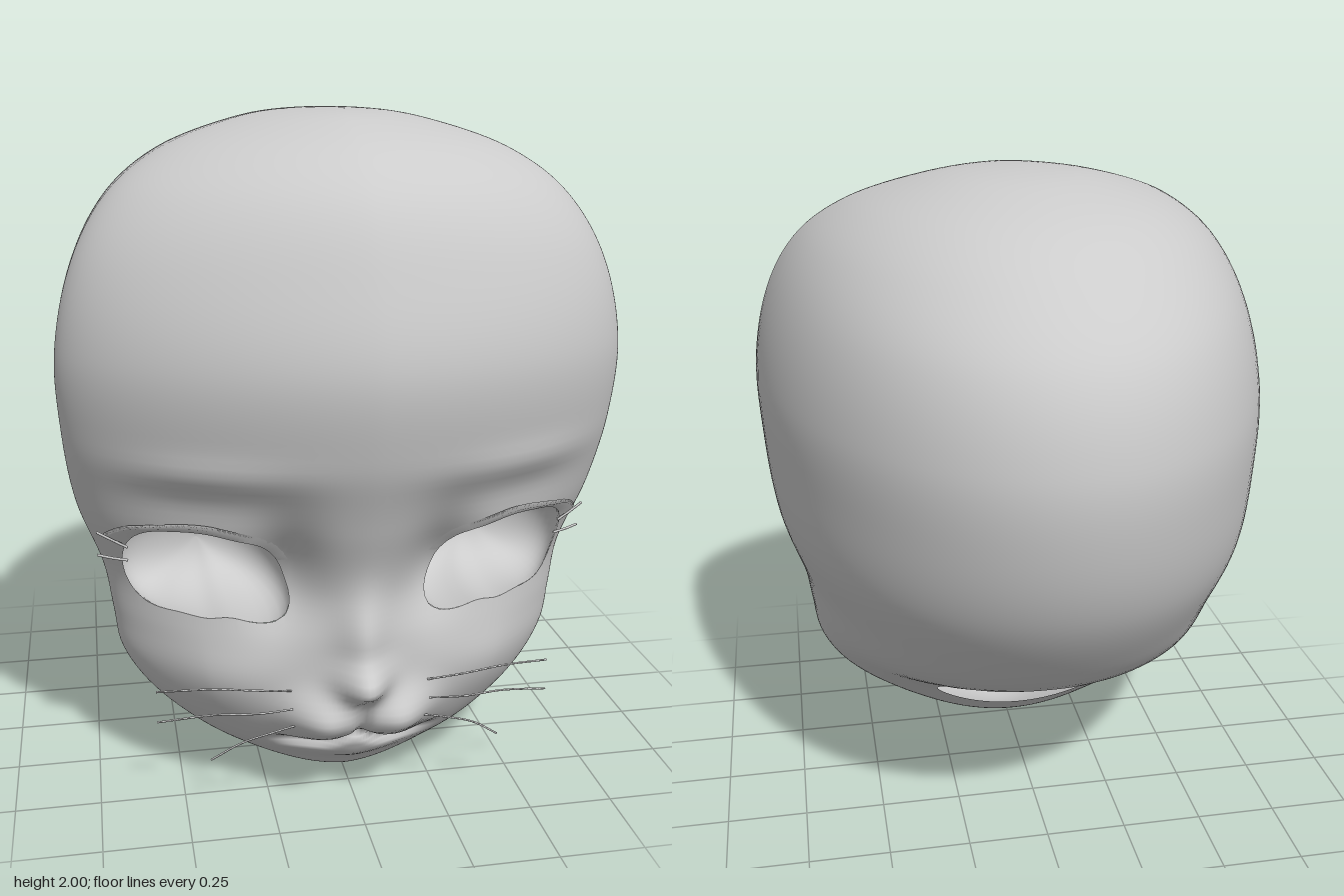
import * as THREE from 'three';

const mat = new THREE.MeshStandardMaterial({ color: 0xcccccc, side: THREE.DoubleSide });

// Horizontal sections: y, half width, front z, back z, z of the widest point
const KEYS = [
  [0, 0, .37, .37, .37], [.03, .15, .45, .24, .38], [.09, .3, .51, .12, .36], [.18, .45, .6, .01, .34],
  [.3, .59, .66, -.12, .31], [.42, .665, .68, -.3, .3], [.54, .685, .69, -.52, .3], [.69, .71, .69, -.67, .3],
  [.9, .78, .77, -.81, .34], [1.13, .81, .855, -.88, .4], [1.36, .815, .89, -.89, .42], [1.6, .76, .83, -.81, .4],
  [1.78, .655, .74, -.63, .33], [1.89, .51, .61, -.45, .25], [1.96, .32, .44, -.24, .17], [1.99, .18, .3, -.08, .12],
  [2, 0, .1, .1, .1],
];
const arc = (y) => Math.acos(THREE.MathUtils.clamp(1 - y, -1, 1));
const S = KEYS.map((k) => arc(k[0]));

// Smooth interpolation of the section table
function section(y) {
  const s = arc(y), n = KEYS.length;
  let i = 0;
  while (i < n - 2 && s > S[i + 1]) i++;
  const h = S[i + 1] - S[i], t = (s - S[i]) / h;
  const slope = (k, c) => {
    const a = Math.max(k - 1, 0), b = Math.min(k + 1, n - 1);
    return (KEYS[b][c] - KEYS[a][c]) / (S[b] - S[a]);
  };
  return [1, 2, 3, 4].map((c) =>
    KEYS[i][c] * (1 + 2 * t) * (1 - t) ** 2 + KEYS[i + 1][c] * t * t * (3 - 2 * t) +
    h * (slope(i, c) * t * (1 - t) ** 2 + slope(i + 1, c) * t * t * (t - 1)));
}

// Facial relief: x (mirrored), y, spread x, spread y, height
const RELIEF = [
  [0, .43, .075, .055, .1], [0, .57, .07, .13, .05], // nose tip, bridge
  [.11, .3, .1, .08, .085], [0, .13, .12, .04, .02], // muzzle, chin
  [.22, .76, .1, .17, -.07], [.45, .98, .25, .07, -.015], // eye corner, under brow
  [.45, 1.07, .25, .05, .015], [0, .3, .02, .06, -.03], // brow, philtrum
  [.4, .42, .16, .12, .03], // cheek
];
const bell = (a, b) => Math.exp(-a * a - b * b);

function surfaceZ(x, y, front) {
  const [hw, zf, zb, zw] = section(y);
  const u = Math.min(Math.abs(x) / Math.max(hw, 1e-6), 1);
  if (!front) return zw + (zb - zw) * Math.sqrt(1 - u * u);
  const q = Math.pow(1 - Math.pow(u, 1.65), 1 / 1.65);
  let d = 0;
  for (const [cx, cy, sx, sy, amp] of RELIEF) {
    d += amp * bell((x - cx) / sx, (y - cy) / sy);
    if (cx) d += amp * bell((x + cx) / sx, (y - cy) / sy);
  }
  // mouth crease
  const ax = Math.abs(x), mouthY = .19 + .04 * Math.exp(-((ax / .06) ** 2));
  d -= .05 * bell((y - mouthY) / .022, (ax / .23) ** 3);
  return zw + (zf - zw) * q + d * Math.min(1, q * 1.5);
}

// Eye outline as radii every 30 degrees, from the outer corner upwards
const EYE = { x: .43, y: .74, r: [.225, .22, .168, .147, .15, .185, .215, .25, .15, .137, .15, .21] };
function eyeRadius(a) {
  const n = 12, f = ((a / (Math.PI * 2) % 1) + 1) % 1 * n, i = Math.floor(f), t = f - i;
  const [p0, p1, p2, p3] = [-1, 0, 1, 2].map((k) => EYE.r[(i + k + n) % n]);
  return p1 + .5 * t * (p2 - p0 + t * (2 * p0 - 5 * p1 + 4 * p2 - p3 + t * (3 * (p1 - p2) + p3 - p0)));
}
const NECK = { y: .365, rx: .3, ry: .175 };

// Relative distance to the nearest opening (below 1 is inside) and its centre
function opening(x, y, front) {
  if (!front) return { f: Math.hypot(x / NECK.rx, (y - NECK.y) / NECK.ry), cx: 0, cy: NECK.y };
  const dx = Math.abs(x) - EYE.x, dy = y - EYE.y;
  return { f: Math.hypot(dx, dy) / eyeRadius(Math.atan2(dy, dx)), cx: Math.sign(x) * EYE.x, cy: EYE.y };
}

function grid(rows, cols, point, closed, keep = () => true) {
  const pos = [], idx = [];
  for (let i = 0; i <= rows; i++) for (let j = 0; j < cols; j++) pos.push(...point(i, j));
  for (let i = 0; i < rows; i++) for (let j = 0; j < (closed ? cols : cols - 1); j++) {
    if (!keep(i, j)) continue;
    const k = (j + 1) % cols, a = i * cols + j, b = a + cols, c = i * cols + k, d = c + cols;
    idx.push(a, b, c, b, d, c);
  }
  const g = new THREE.BufferGeometry();
  g.setAttribute('position', new THREE.Float32BufferAttribute(pos, 3));
  g.setIndex(idx);
  g.computeVertexNormals();
  return g;
}

// Head shell with openings for the eyes and neck
function headGeometry() {
  const rows = 120, nf = 150, nb = 66, cols = nf + nb;
  const base = (i, j) => {
    const y = 1 - Math.cos(Math.PI * i / rows), front = j <= nf;
    const a = front ? Math.PI * j / nf : Math.PI * (1 + (j - nf) / nb);
    return { x: section(y)[0] * Math.cos(a), y, front };
  };
  const P = [], cut = [];
  for (let i = 0; i <= rows; i++) P.push(Array.from({ length: cols }, (_, j) => base(i, j)));
  for (let i = 0; i < rows; i++) cut.push(Array.from({ length: cols }, (_, j) => {
    const k = (j + 1) % cols, q = [P[i][j], P[i][k], P[i + 1][j], P[i + 1][k]];
    const x = q.reduce((s, p) => s + p.x, 0) / 4, y = q.reduce((s, p) => s + p.y, 0) / 4;
    return opening(x, y, j < nf).f < 1;
  }));
  const point = (i, j) => {
    let { x, y, front } = P[i][j];
    const near = [[i, j], [i - 1, j], [i, (j + cols - 1) % cols], [i - 1, (j + cols - 1) % cols]]
      .filter(([r]) => r >= 0 && r < rows).map(([r, c]) => cut[r][c]);
    if (near.includes(true) && near.includes(false)) { // slide rim points onto the outline
      const o = opening(x, y, front);
      x = o.cx + (x - o.cx) / o.f;
      y = o.cy + (y - o.cy) / o.f;
    }
    return [x, y, surfaceZ(x, y, front)];
  };
  return grid(rows, cols, point, true, (i, j) => !cut[i][j]);
}

// Hollow eye bowl running back from the rim
function eyeBowl(side) {
  return grid(14, 64, (i, j) => {
    const a = j / 64 * Math.PI * 2, r = eyeRadius(a), t = i / 14;
    const rx = EYE.x + r * Math.cos(a), ry = EYE.y + r * Math.sin(a);
    const k = Math.cos(t * Math.PI / 2) * (1 + .5 * t), w = Math.sin(t * Math.PI / 2);
    return [side * (EYE.x + (rx - EYE.x) * k), EYE.y + (ry - EYE.y) * k,
      THREE.MathUtils.lerp(surfaceZ(rx, ry, true), .27, w)];
  }, true);
}

// Raised strip along the upper eyelid, ending in an outer flick
function upperLid(side) {
  const lift = [0, .014, .022, 0];
  const out = [0, .025, .012, -.004];
  return grid(3, 33, (i, j) => {
    const t = j / 32, a = THREE.MathUtils.lerp(.1, .93, t) * Math.PI;
    const r = eyeRadius(a) + lift[i] * 1.4 + (i === 2 || i === 1 ? .035 * Math.max(0, 1 - t * 6) : 0);
    const x = EYE.x + r * Math.cos(a), y = EYE.y + r * Math.sin(a);
    return [side * x, y, surfaceZ(x, y, true) + out[i] * Math.sin(Math.PI * Math.min(1, t + .25))];
  }, false);
}

function tube(points, side, radius) {
  const curve = new THREE.CatmullRomCurve3(points.map(([x, y, z]) => new THREE.Vector3(side * x, y, z)));
  return new THREE.TubeGeometry(curve, 14, radius, 5);
}

const WHISKERS = [
  [[.2, .4, .66], [.3, .425, .69], [.42, .43, .67], [.58, .405, .61]],
  [[.2, .352, .68], [.3, .358, .7], [.42, .35, .67], [.58, .31, .61]],
  [[.18, .29, .66], [.26, .283, .68], [.34, .25, .66], [.43, .18, .62]],
];

export function createModel() {
  const model = new THREE.Group();
  model.name = 'catHead';
  const add = (name, geometry) => {
    const mesh = new THREE.Mesh(geometry, mat);
    mesh.name = name;
    model.add(mesh);
  };
  add('headShell', headGeometry());
  for (const [side, label] of [[1, 'left'], [-1, 'right']]) {
    add(label + 'EyeBowl', eyeBowl(side));
    add(label + 'UpperLid', upperLid(side));
    // small lashes at the outer corner
    for (const [y, tip] of [[.8, .84], [.75, .76]]) {
      const z = surfaceZ(.64, y, true);
      add(label + 'Lash', tube([[.64, y, z], [.68, (y + tip) / 2, z - .01], [.725, tip, z - .03]], side, .004));
    }
    WHISKERS.forEach((w) => add(label + 'Whisker', tube(w, side, .003)));
  }
  return model;
}
